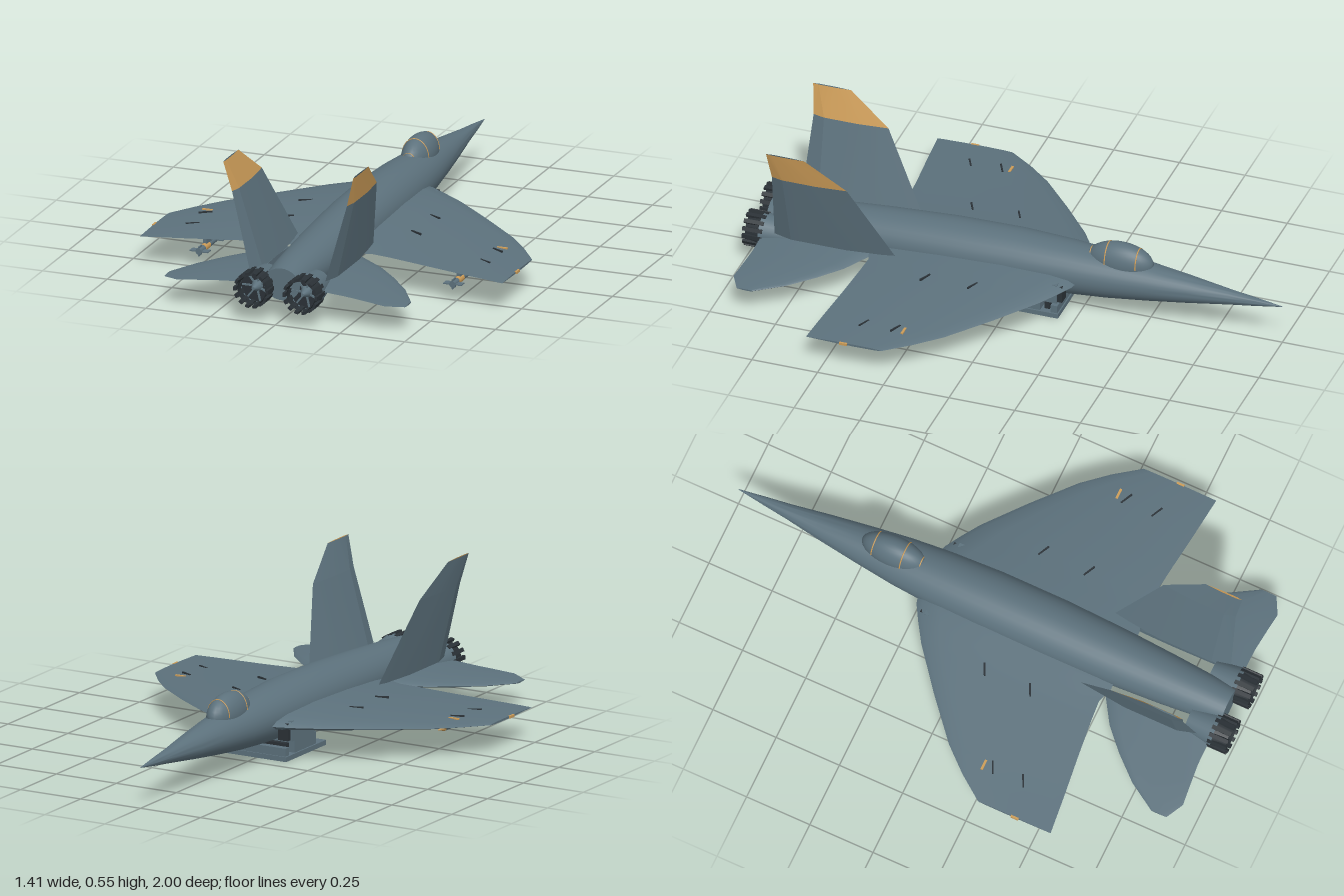
import * as THREE from 'three';
import { toCreasedNormals } from 'three/addons/utils/BufferGeometryUtils.js';

const D = { side: THREE.DoubleSide };
const paint = (name, color) => {
  const m = new THREE.MeshStandardMaterial({ color, ...D });
  m.name = name;
  return m;
};

// Skin over rings of points, each ring counter-clockwise about the direction of travel; s = -1 mirrors in x.
function loft(rings, { closed = true, caps = true, s = 1, crease = 0.6 } = {}) {
  const n = rings[0].length, pos = [], idx = [];
  const tri = (a, b, c) => (s > 0 ? idx.push(a, b, c) : idx.push(a, c, b));
  rings.forEach(r => r.forEach(p => pos.push(p[0] * s, p[1], p[2])));
  for (let i = 0; i < rings.length - 1; i++) {
    for (let j = 0; j < (closed ? n : n - 1); j++) {
      const a = i * n + j, b = i * n + (j + 1) % n;
      tri(a, b, a + n);
      tri(b, b + n, a + n);
    }
  }
  if (closed && caps) {
    const last = (rings.length - 1) * n;
    for (let j = 1; j < n - 1; j++) {
      tri(0, j + 1, j);
      tri(last, last + j, last + j + 1);
    }
  }
  const g = new THREE.BufferGeometry();
  g.setAttribute('position', new THREE.Float32BufferAttribute(pos, 3));
  g.setIndex(idx);
  return toCreasedNormals(g, crease);
}

// Airfoil slice at span x, from leading edge z0 to trailing edge z1.
function airfoil([x, z0, z1, y, t]) {
  const u = [0.03, 0.12, 0.35, 0.65, 0.92], h = [0.45, 0.8, 1, 0.75, 0.25];
  const at = (k, side) => [x, y + side * h[k] * t, z0 + (z1 - z0) * u[k]];
  return [[x, y, z0], ...u.map((_, k) => at(k, 1)), [x, y, z1], ...u.map((_, k) => at(u.length - 1 - k, -1))];
}

export function createModel() {
  const grey = paint('slate grey', 0x5c717c);
  const dark = paint('dark metal', 0x2a3136);
  const tan = paint('tan', 0xcc9c58);
  const model = new THREE.Group();
  model.name = 'jet';

  const add = (name, geo, mat, x = 0, y = 0, z = 0, parent = model) => {
    const m = new THREE.Mesh(geo, mat);
    m.name = name;
    m.position.set(x, y, z);
    parent.add(m);
    return m;
  };
  const box = (w, h, d) => new THREE.BoxGeometry(w, h, d);
  const tube = (r0, r1, len, seg = 20, open = false) =>
    new THREE.CylinderGeometry(r1, r0, len, seg, 1, open).rotateX(Math.PI / 2); // r1 at +z

  // Fuselage: z, half width, bottom, top
  const body = [
    [-1, 0.001, 0.15, 0.152], [-0.9, 0.015, 0.135, 0.166], [-0.8, 0.028, 0.122, 0.178], [-0.65, 0.052, 0.101, 0.199],
    [-0.5, 0.073, 0.082, 0.218], [-0.35, 0.092, 0.066, 0.234], [-0.2, 0.104, 0.055, 0.246],
    [0, 0.112, 0.047, 0.254], [0.25, 0.112, 0.043, 0.25], [0.5, 0.104, 0.045, 0.236],
    [0.7, 0.092, 0.05, 0.222], [0.85, 0.08, 0.06, 0.21], [0.94, 0.07, 0.075, 0.195],
  ];
  add('fuselage', loft(body.map(([z, w, b, t]) => Array.from({ length: 32 }, (_, j) => {
    const a = j / 32 * Math.PI * 2;
    return [w * Math.cos(a), (b + t) / 2 + (t - b) / 2 * Math.sin(a), z];
  }))), grey);

  // Canopy and its frame hoops
  const cz = -0.385, cy = 0.215, cw = 0.056, ch = 0.074, cl = 0.125;
  add('canopy', new THREE.SphereGeometry(1, 28, 18).scale(cw, ch, cl), grey, 0, cy, cz);
  for (const z of [-0.455, -0.34, -0.275]) {
    const k = Math.sqrt(1 - ((z - cz) / cl) ** 2);
    const hoop = new THREE.TorusGeometry(1, 0.03, 6, 28, Math.PI).scale(cw * k, ch * k, 0.08);
    add('canopyFrame', hoop, tan, 0, cy, z);
  }

  // Belly equipment tray
  add('bellyTray', box(0.248, 0.018, 0.28), grey, 0, 0.009, -0.05);
  add('bellyBlock', box(0.236, 0.046, 0.15), grey, 0, 0.041, -0.045);
  add('bellyPost', box(0.2, 0.04, 0.02), dark, 0, 0.036, -0.14);
  add('bellyNoseBlock', box(0.236, 0.03, 0.025), grey, 0, 0.033, -0.173);

  const wing = [
    [0.06, -0.255, 0.53, 0.142, 0.034], [0.12, -0.24, 0.53, 0.14, 0.031], [0.18, -0.205, 0.51, 0.137, 0.026],
    [0.25, -0.16, 0.515, 0.134, 0.022], [0.4, -0.04, 0.53, 0.125, 0.015], [0.55, 0.09, 0.547, 0.117, 0.009],
    [0.63, 0.18, 0.555, 0.113, 0.006], [0.7, 0.275, 0.562, 0.109, 0.004],
  ];
  const tail = [
    [0.13, 0.51, 0.93, 0.125, 0.016], [0.24, 0.58, 0.93, 0.117, 0.012], [0.32, 0.655, 0.937, 0.111, 0.009],
    [0.4, 0.745, 0.945, 0.104, 0.006], [0.465, 0.85, 0.91, 0.098, 0.003],
  ];
  // Fin slices: x, y, leading z, trailing z, half thickness
  const fin = [[0.145, 0.145, 0.42, 0.88, 0.02], [0.222, 0.435, 0.578, 0.863, 0.01], [0.251, 0.547, 0.73, 0.875, 0.003]];
  const finRing = ([x, y, z0, z1, t]) => {
    const a = z0 + (z1 - z0) * 0.4, b = z0 + (z1 - z0) * 0.85;
    return [[x, y, z1], [x + t, y, b], [x + t, y, a], [x, y, z0], [x - t, y, a], [x - t, y, b]];
  };
  const slices = fin.map(finRing);
  const tip = slices.slice(1);

  for (const s of [1, -1]) {
    const side = s > 0 ? 'left' : 'right';
    add(side + 'Wing', loft(wing.map(airfoil), { s }), grey);
    add(side + 'Tailplane', loft(tail.map(airfoil), { s }), grey);

    // Canted fin; the tip is tan only on the face towards +x
    add(side + 'Fin', loft(slices.slice(0, 2), { s, crease: 0.2 }), grey);
    const half = { closed: false, s, crease: 0.2 };
    add(side + 'FinTipOuter', loft(tip.map(r => r.slice(0, 4)), half), s > 0 ? tan : grey);
    add(side + 'FinTipInner', loft(tip.map(r => [...r.slice(3), r[0]]), half), s > 0 ? grey : tan);

    // Air intake at the wing root
    add(side + 'Intake', box(0.05, 0.075, 0.16), grey, s * 0.125, 0.118, -0.115);
    add(side + 'IntakeMouth', box(0.042, 0.065, 0.024), dark, s * 0.125, 0.118, -0.202);

    // Engine pod, nozzle petals and fan
    const engine = new THREE.Group();
    engine.name = side + 'Engine';
    engine.position.set(s * 0.095, 0.118, 0);
    model.add(engine);
    add('pod', tube(0.05, 0.066, 0.11, 24, true), grey, 0, 0, 0.885, engine);
    add('nozzle', tube(0.064, 0.054, 0.055, 24, true), dark, 0, 0, 0.965, engine);
    add('fanDisc', new THREE.CircleGeometry(0.062, 24), dark, 0, 0, 0.935, engine);
    add('fanHub', tube(0.022, 0.006, 0.04, 12), grey, 0, 0, 0.955, engine);
    for (let i = 0; i < 14; i++) {
      const a = i / 14 * Math.PI * 2, c = Math.cos(a), d = Math.sin(a);
      add('petal', box(0.01, 0.015, 0.075), dark, c * 0.062, d * 0.062, 0.9625, engine).rotation.z = a;
      if (i % 2) add('fanBlade', box(0.038, 0.006, 0.006), grey, c * 0.037, d * 0.037, 0.94, engine).rotation.z = a;
    }

    // Underwing missile on its pylon
    const missile = new THREE.Group();
    missile.name = side + 'Missile';
    missile.position.set(s * 0.49, 0.065, 0);
    model.add(missile);
    add('missileBody', tube(0.012, 0.012, 0.22, 14), grey, 0, 0, 0.41, missile);
    add('missileNose', tube(0.001, 0.012, 0.04, 14), tan, 0, 0, 0.28, missile);
    add('missileBand', tube(0.0135, 0.0135, 0.045, 14), tan, 0, 0, 0.455, missile);
    add('pylon', box(0.014, 0.05, 0.12), grey, 0, 0.03, 0.4, missile);
    for (const z of [0.36, 0.505]) add('missileFins', box(0.07, 0.004, 0.03), grey, 0, 0, z, missile);
    add('missileRudder', box(0.004, 0.036, 0.03), grey, 0, 0, 0.505, missile);

    // Small dark vanes and a tan marker on the wing
    for (const [x, z, y] of [[0.25, 0.09, 0.155], [0.25, 0.27, 0.152], [0.565, 0.27, 0.125], [0.565, 0.39, 0.121]]) {
      add('wingVane', box(0.05, 0.008, 0.006), dark, s * x, y, z).rotation.y = -s * 0.45;
    }
    add('wingMarker', box(0.04, 0.005, 0.009), tan, s * 0.57, 0.125, 0.237);
    add('tipLight', box(0.008, 0.009, 0.03), tan, s * 0.701, 0.109, 0.42);
  }
  return model;
}
